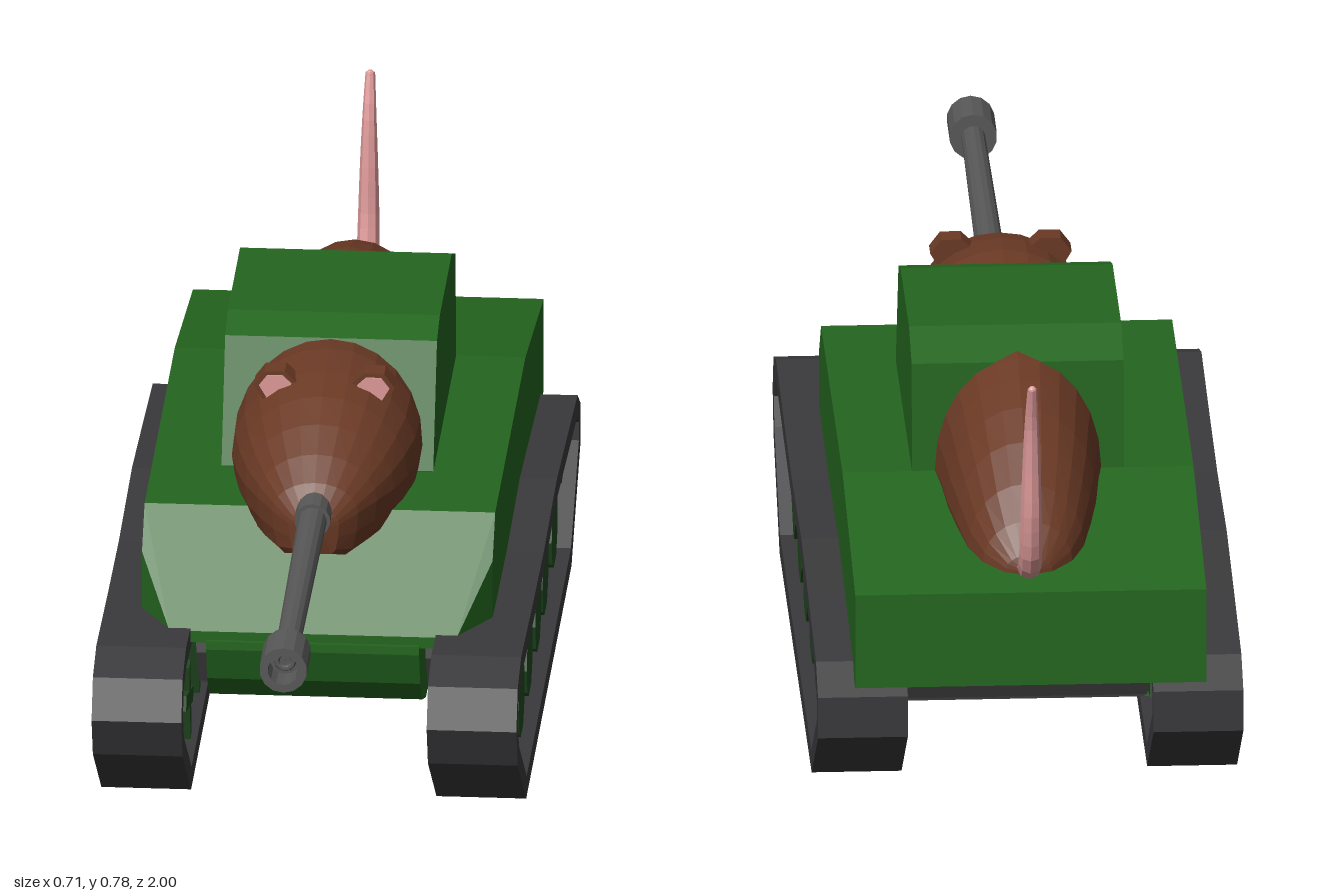
import * as THREE from 'three';
import { ConvexGeometry } from 'three/addons/geometries/ConvexGeometry.js';

const mat = (color) => new THREE.MeshStandardMaterial({ color, flatShading: true });
const green = mat(0x24661f), darkGreen = mat(0x21491f), brown = mat(0x6b3a25), pink = mat(0xdf9a9a);
const rubber = mat(0x3a3a3c), grey = mat(0x626262), steel = mat(0x585858);

export function createModel() {
  const model = new THREE.Group();
  const add = (name, geometry, material, parent = model) => {
    const mesh = new THREE.Mesh(geometry, material);
    mesh.name = name;
    parent.add(mesh);
    return mesh;
  };
  const vecs = (pts) => pts.map(([a, b]) => new THREE.Vector2(a, b));

  // Extrudes a [z, y] side profile across x0..x1
  const sideExtrude = (pts, x0, x1, hole) => {
    const shape = new THREE.Shape(vecs(pts));
    if (hole) shape.holes.push(new THREE.Path(vecs(hole)));
    return new THREE.ExtrudeGeometry(shape, { depth: x1 - x0, bevelEnabled: false })
      .rotateY(-Math.PI / 2).translate(x1, 0, 0);
  };

  // Moves every corner of a counter-clockwise outline inward
  const inset = (pts, d) => pts.map((p, i) => {
    const a = pts[(i + pts.length - 1) % pts.length], b = pts[(i + 1) % pts.length];
    const e1 = new THREE.Vector2(p[0] - a[0], p[1] - a[1]).normalize();
    const e2 = new THREE.Vector2(b[0] - p[0], b[1] - p[1]).normalize();
    const n = new THREE.Vector2(-e1.y - e2.y, e1.x + e2.x).normalize();
    const k = d / (n.x * -e1.y + n.y * e1.x);
    return [p[0] + n.x * k, p[1] + n.y * k];
  });

  // Skins rounded sections [z, halfWidth, top, middle, bottom], ordered back to front
  const loft = (sections, n = 24) => {
    const pos = [], index = [];
    for (const [z, w, top, mid, bot] of sections) {
      for (let j = 0; j < n; j++) {
        const a = (j / n) * Math.PI * 2, s = Math.sin(a);
        const y = s > 0 ? mid + (top - mid) * s : Math.max(bot, mid + (mid - bot) * 1.7 * s);
        pos.push(w * Math.cos(a), y, z);
      }
    }
    for (let i = 0; i < sections.length - 1; i++) {
      for (let j = 0; j < n; j++) {
        const a = i * n + j, b = i * n + (j + 1) % n;
        index.push(a, b, a + n, b, b + n, a + n);
      }
    }
    const g = new THREE.BufferGeometry();
    g.setAttribute('position', new THREE.Float32BufferAttribute(pos, 3));
    g.setIndex(index);
    g.computeVertexNormals();
    return g;
  };

  // Upper hull with clipped front corners
  const hullPts = [];
  for (const s of [-1, 1]) {
    for (const [x, y, z] of [[0.24, 0.295, 0.32], [0.24, 0.275, 0.32], [0.293, 0.27, 0.22],
      [0.293, 0.395, 0.22], [0.293, 0.458, 0.16], [0.293, 0.458, -0.53],
      [0.293, 0.395, -0.945], [0.293, 0.23, -0.945]]) hullPts.push(new THREE.Vector3(s * x, y, z));
  }
  add('upperHull', new ConvexGeometry(hullPts), green);

  // Lower hull: rounded nose and grey belly
  add('nose', sideExtrude([[0.1, 0.28], [0.1, 0.127], [0.17, 0.127], [0.25, 0.155], [0.305, 0.205],
    [0.327, 0.265], [0.327, 0.28]], -0.178, 0.178), green);
  add('belly', sideExtrude([[0.2, 0.28], [-0.92, 0.28], [-0.92, 0.235], [-0.72, 0.125], [0.12, 0.125],
    [0.18, 0.2]], -0.205, 0.205), grey);
  add('bellyPlate', new THREE.BoxGeometry(0.4, 0.006, 0.84).translate(0, 0.124, -0.3), rubber);

  // Turret
  add('turret', sideExtrude([[-0.01, 0.44], [-0.01, 0.46], [-0.095, 0.66], [-0.16, 0.68], [-0.435, 0.68],
    [-0.52, 0.645], [-0.53, 0.44]], -0.177, 0.177), green);

  // Rodent head and hind body
  add('head', loft([[-0.13, 0.155, 0.655, 0.5, 0.42], [-0.04, 0.158, 0.664, 0.5, 0.42],
    [0.04, 0.156, 0.655, 0.5, 0.42], [0.11, 0.143, 0.638, 0.5, 0.42], [0.17, 0.125, 0.612, 0.5, 0.42],
    [0.225, 0.1, 0.58, 0.5, 0.42], [0.27, 0.072, 0.547, 0.495, 0.42], [0.3, 0.042, 0.515, 0.485, 0.432],
    [0.312, 0.002, 0.487, 0.485, 0.483]]), brown);
  add('hindBody', loft([[-0.885, 0.002, 0.41, 0.408, 0.4], [-0.875, 0.04, 0.435, 0.405, 0.38],
    [-0.84, 0.075, 0.482, 0.41, 0.38], [-0.79, 0.097, 0.53, 0.42, 0.38], [-0.72, 0.113, 0.578, 0.44, 0.38],
    [-0.65, 0.125, 0.613, 0.45, 0.38], [-0.58, 0.132, 0.636, 0.46, 0.4], [-0.52, 0.14, 0.652, 0.46, 0.4],
    [-0.46, 0.14, 0.66, 0.46, 0.4]]), brown);

  // Ears with pink inner faces
  const earPts = [[0.1, 0.605], [0.118, 0.636], [0.1, 0.66], [0.066, 0.661], [0.046, 0.642], [0.06, 0.61]];
  for (const s of [-1, 1]) {
    const ear = new THREE.Group();
    ear.name = s > 0 ? 'leftEar' : 'rightEar';
    const outline = earPts.map(([x, y]) => [x * s, y]);
    const inner = outline.map(([x, y]) => [s * 0.082 + (x - s * 0.082) * 0.75, 0.634 + (y - 0.634) * 0.75]);
    const extrude = (p, depth, z) => new THREE.ExtrudeGeometry(new THREE.Shape(vecs(p)),
      { depth, bevelEnabled: false }).translate(0, 0, z);
    add('earShell', extrude(outline, 0.04, 0.02), brown, ear);
    add('innerEar', extrude(inner, 0.02, 0.043), pink, ear);
    model.add(ear);
  }

  // Gun: stepped barrel with a hollow muzzle
  const gun = new THREE.Group();
  gun.name = 'gun';
  gun.position.y = 0.505;
  model.add(gun);
  const profile = [[0.001, 0.28], [0.03, 0.28], [0.03, 0.335], [0.024, 0.335], [0.02, 0.91], [0.04, 0.91],
    [0.04, 1], [0.026, 1], [0.026, 0.95], [0.001, 0.95]];
  add('barrel', new THREE.LatheGeometry(vecs(profile), 14).rotateX(Math.PI / 2), steel, gun);
  const bore = new THREE.TorusGeometry(0.014, 0.005, 6, 12).translate(0, 0, 0.955);
  add('boreRing', bore, steel, gun);

  // Tail: tube that narrows toward the tip
  const tailPath = new THREE.CatmullRomCurve3([[0.41, -0.85], [0.418, -0.89], [0.445, -0.928], [0.52, -0.953],
    [0.63, -0.963], [0.71, -0.973], [0.776, -0.993]].map(([y, z]) => new THREE.Vector3(0, y, z)));
  const rings = 16, sides = 8;
  const tail = new THREE.TubeGeometry(tailPath, rings, 0.02, sides);
  const tp = tail.attributes.position, v = new THREE.Vector3();
  for (let i = 0; i <= rings; i++) {
    const c = tailPath.getPointAt(i / rings);
    for (let j = 0; j <= sides; j++) {
      const k = i * (sides + 1) + j;
      v.fromBufferAttribute(tp, k).lerp(c, 0.6 * (i / rings) ** 2);
      tp.setXYZ(k, v.x, v.y, v.z);
    }
  }
  add('tail', tail, pink);
  add('tailTip', new THREE.SphereGeometry(0.008, 8, 6).translate(0, 0.772, -0.991), pink);

  // Running gear, mirrored on both sides
  const trackPts = [[0.415, 0.303], [0.495, 0.278], [0.525, 0.212], [0.495, 0.14], [0.3, 0.002],
    [-0.735, 0.002], [-0.94, 0.14], [-0.94, 0.212], [-0.875, 0.252], [-0.62, 0.275], [-0.4, 0.293],
    [-0.1, 0.283], [0.14, 0.29]].reverse();
  const wheels = [[0.3, 0.1, 0.07], [0.094, 0.1, 0.07], [-0.09, 0.1, 0.07], [-0.286, 0.1, 0.07],
    [-0.45, 0.1, 0.07], [-0.66, 0.1, 0.07], [0.41, 0.2, 0.06], [-0.83, 0.175, 0.06]];
  const arms = [[0.3, 0.1, 0.33, 0.24], [0.094, 0.1, 0.14, 0.27], [-0.09, 0.1, -0.14, 0.26],
    [-0.286, 0.1, -0.25, 0.26], [-0.45, 0.1, -0.5, 0.26], [-0.66, 0.1, -0.62, 0.26],
    [0.41, 0.2, 0.25, 0.155], [-0.83, 0.175, -0.69, 0.145]];
  for (const s of [-1, 1]) {
    const side = new THREE.Group();
    side.name = s > 0 ? 'leftRunningGear' : 'rightRunningGear';
    model.add(side);
    const [x0, x1] = s > 0 ? [0.205, 0.355] : [-0.355, -0.205];
    add('track', sideExtrude(trackPts, x0, x1, inset(trackPts, 0.036)), rubber, side);
    for (const [z, y, r] of wheels) {
      const wheel = add('wheel', new THREE.CylinderGeometry(r, r, 0.105, 9).rotateZ(Math.PI / 2), darkGreen, side);
      wheel.position.set(s * 0.28, y, z);
    }
    for (const [z0, y0, z1, y1] of arms) {
      const len = Math.hypot(z1 - z0, y1 - y0);
      const arm = add('suspensionArm', new THREE.BoxGeometry(0.07, 0.026, len), darkGreen, side);
      arm.position.set(s * 0.24, (y0 + y1) / 2, (z0 + z1) / 2);
      arm.rotation.x = -Math.atan2(y1 - y0, z1 - z0);
    }
  }
  return model;
}
